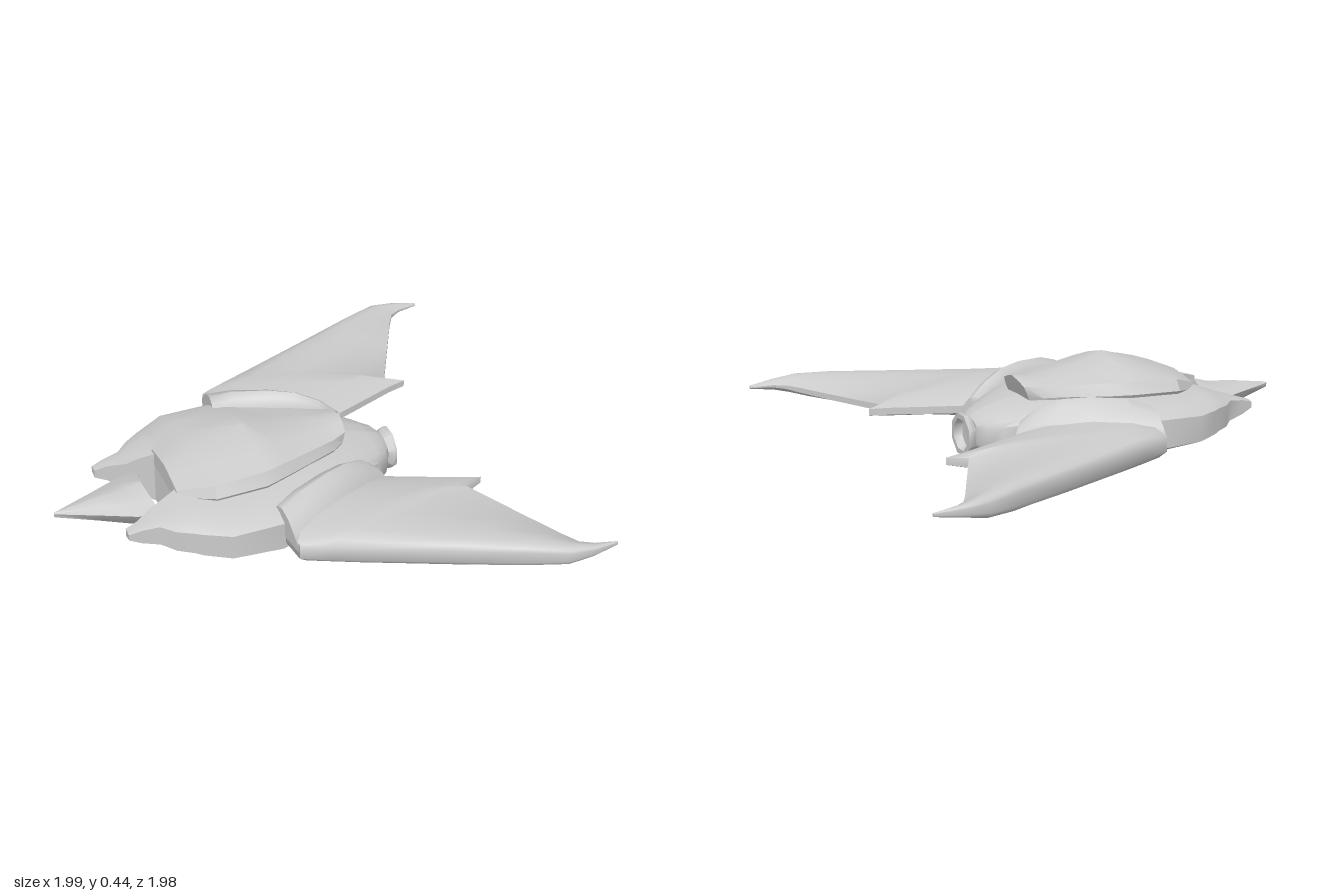
import * as THREE from 'three';
import { toCreasedNormals } from 'three/addons/utils/BufferGeometryUtils.js';

const material = new THREE.MeshStandardMaterial({ color: 0xcccccc });

// Skin equal-length loops of [x, y, z] into a capped solid; winding is set outward by signed volume.
function loft(name, loops, crease = 0.6, mirror = 1) {
  const n = loops[0].length;
  const pts = loops.flat().map(([x, y, z]) => new THREE.Vector3(x, y, z * mirror));
  const tris = [];
  for (let i = 0; i < loops.length - 1; i++) {
    for (let j = 0; j < n; j++) {
      const a = i * n + j, b = i * n + (j + 1) % n;
      tris.push([a, b, b + n], [a, b + n, a + n]);
    }
  }
  const cap = (start, flip) => {
    const c = new THREE.Vector3();
    for (let j = 0; j < n; j++) c.addScaledVector(pts[start + j], 1 / n);
    const k = pts.push(c) - 1;
    for (let j = 0; j < n; j++) {
      const a = start + j, b = start + (j + 1) % n;
      tris.push(flip ? [k, b, a] : [k, a, b]);
    }
  };
  cap(0, true);
  cap((loops.length - 1) * n, false);
  let volume = 0;
  for (const [a, b, c] of tris) volume += pts[a].dot(pts[b].clone().cross(pts[c]));
  if (volume < 0) tris.forEach((t) => t.reverse());
  const geometry = new THREE.BufferGeometry().setFromPoints(pts);
  geometry.setIndex(tris.flat());
  const mesh = new THREE.Mesh(toCreasedNormals(geometry, crease), material);
  mesh.name = name;
  return mesh;
}

// Half hull section between an inner and an outer z
function hullSection([x, zi, zo, top, rimTop, rimLow, low]) {
  const z = (f) => zi + (zo - zi) * f;
  const up = (f) => rimTop + (top - rimTop) * f;
  const down = (f) => rimLow + (low - rimLow) * f;
  return [
    [x, top, zi], [x, up(0.92), z(0.35)], [x, up(0.7), z(0.65)], [x, up(0.4), z(0.88)],
    [x, rimTop, zo], [x, rimLow, zo],
    [x, down(0.28), z(0.83)], [x, down(0.52), z(0.55)], [x, down(0.82), z(0.25)], [x, low, zi],
  ];
}

// Canopy: sloped roof over side walls that tuck in towards the base
function canopySection([x, w, ridge, edge, base, lean = 0]) {
  const side = [
    [0, ridge], [0.45, ridge + (edge - ridge) * 0.42], [0.9, edge],
    [1, edge - (edge - base) * 0.4], [0.85, base],
  ];
  const half = side.map(([f, y]) => [x - lean * (ridge - y), y, f * w]);
  return [...half, ...half.slice(1).reverse().map(([px, y, z]) => [px, y, -z])];
}

// Wing rib from leading edge to trailing edge with a rounded profile
function wingRib([lx, lz, tx, tz, top, low]) {
  const mid = (top + low) / 2, h = (top - low) / 2;
  const profile = [[0, 0.45], [0.04, 0.75], [0.16, 0.95], [0.4, 1], [0.75, 0.7], [1, 0.2]];
  const at = (f, y) => [lx + (tx - lx) * f, y, lz + (tz - lz) * f];
  return [
    ...profile.map(([f, k]) => at(f, mid + h * k)),
    ...profile.slice().reverse().map(([f, k]) => at(f, mid - h * k)),
  ];
}

// Shoulder fairing arch between inner and outer foot points
function shoulderArch([xi, zi, xo, zo, top]) {
  const arch = [[0, 0], [0, 0.55], [0.15, 0.9], [0.35, 1], [0.6, 0.85], [0.85, 0.5], [1, 0.2], [1, 0]];
  return arch.map(([f, k]) => [xi + (xo - xi) * f, 0.19 + (top - 0.19) * k, zi + (zo - zi) * f]);
}

export function createModel() {
  const ship = new THREE.Group();
  ship.name = 'spacecraft';

  // x, inner z, outer z, top, rim top, rim bottom, keel
  const hull = [
    [-0.77, 0.21, 0.25, 0.215, 0.21, 0.185, 0.18],
    [-0.72, 0.2, 0.26, 0.23, 0.225, 0.165, 0.16],
    [-0.65, 0.16, 0.275, 0.25, 0.235, 0.15, 0.12],
    [-0.6, 0.15, 0.33, 0.27, 0.235, 0.145, 0.09],
    [-0.54, 0.13, 0.37, 0.29, 0.24, 0.145, 0.06],
    [-0.51, 0, 0.39, 0.3, 0.24, 0.14, 0.04],
    [-0.41, 0, 0.45, 0.31, 0.245, 0.14, 0.03],
    [-0.2, 0, 0.45, 0.32, 0.25, 0.13, 0.005],
    [0, 0, 0.38, 0.32, 0.25, 0.13, 0.005],
    [0.15, 0, 0.3, 0.31, 0.245, 0.13, 0.02],
    [0.25, 0, 0.22, 0.29, 0.235, 0.13, 0.035],
    [0.33, 0, 0.16, 0.27, 0.22, 0.12, 0.05],
    [0.38, 0, 0.12, 0.255, 0.205, 0.13, 0.075],
    [0.405, 0, 0.08, 0.235, 0.195, 0.14, 0.1],
  ].map(hullSection);

  // leading x, z, trailing x, z, top, bottom
  const wing = [
    [-0.19, 0.35, 0.21, 0.2, 0.27, 0.12],
    [-0.19, 0.46, 0.38, 0.27, 0.27, 0.115],
    [-0.18, 0.57, 0.6, 0.36, 0.265, 0.12],
    [-0.06, 0.625, 0.68, 0.385, 0.262, 0.12],
    [0.02, 0.66, 0.6, 0.42, 0.258, 0.122],
    [0.38, 0.815, 0.73, 0.68, 0.25, 0.13],
    [0.62, 0.92, 0.81, 0.84, 0.245, 0.14],
    [0.77, 0.985, 0.85, 0.91, 0.235, 0.155],
    [0.88, 0.99, 0.9, 0.94, 0.22, 0.175],
    [0.99, 0.97, 0.99, 0.96, 0.205, 0.19],
  ].map(wingRib);

  // inner x, z, outer x, z, crest height
  const shoulder = [
    [-0.205, 0.35, -0.185, 0.56, 0.305],
    [-0.13, 0.32, -0.07, 0.5, 0.335],
    [0, 0.27, 0.07, 0.42, 0.347],
    [0.1, 0.235, 0.18, 0.35, 0.34],
    [0.2, 0.2, 0.26, 0.29, 0.305],
    [0.26, 0.19, 0.32, 0.25, 0.25],
  ].map(shoulderArch);

  for (const [side, s] of [['left', -1], ['right', 1]]) {
    ship.add(loft(`${side}Hull`, hull, 0.7, s));
    ship.add(loft(`${side}Wing`, wing, 0.8, s));
    ship.add(loft(`${side}Shoulder`, shoulder, 0.8, s));
  }

  // x, half width, ridge, roof edge, base, backward lean of the ridge
  ship.add(loft('canopy', [
    [-0.54, 0.17, 0.325, 0.3, 0.24],
    [-0.41, 0.275, 0.38, 0.35, 0.24],
    [-0.2, 0.275, 0.44, 0.365, 0.24],
    [-0.1, 0.235, 0.402, 0.36, 0.24],
    [0.05, 0.175, 0.383, 0.355, 0.25],
    [0.14, 0.135, 0.375, 0.35, 0.25],
    [0.215, 0.1, 0.385, 0.355, 0.26, 0.35],
  ].map(canopySection), 0.55));

  // Nose: diamond section, swept back at the sides
  const noseRing = (x, w, top, low, sweep = 0) => [
    [x, top, 0], [x + sweep * 0.5, top * 0.55 + 0.09, w * 0.55], [x + sweep, 0.205, w],
    [x + sweep * 0.5, low * 0.6 + 0.075, w * 0.6], [x, low, 0],
    [x + sweep * 0.5, low * 0.6 + 0.075, -w * 0.6], [x + sweep, 0.205, -w],
    [x + sweep * 0.5, top * 0.55 + 0.09, -w * 0.55],
  ];
  ship.add(loft('nose', [
    noseRing(-1, 0.006, 0.21, 0.19),
    noseRing(-0.82, 0.085, 0.238, 0.135),
    noseRing(-0.7, 0.14, 0.25, 0.095),
    noseRing(-0.64, 0.165, 0.268, 0.07, 0.035),
  ], 0.7));

  // Engine nozzle: flared eight-sided ring
  const nozzleProfile = [[0, 0.35], [0.07, 0.35], [0.072, 0.405], [0.09, 0.425], [0.09, 0.443],
    [0.068, 0.443], [0.058, 0.41], [0, 0.405]].map(([r, y]) => new THREE.Vector2(r, y));
  const nozzle = new THREE.Mesh(
    toCreasedNormals(new THREE.LatheGeometry(nozzleProfile, 8, Math.PI / 8), 0.8), material);
  nozzle.name = 'engineNozzle';
  nozzle.rotation.z = -Math.PI / 2;
  nozzle.position.y = 0.165;
  ship.add(nozzle);

  return ship;
}
